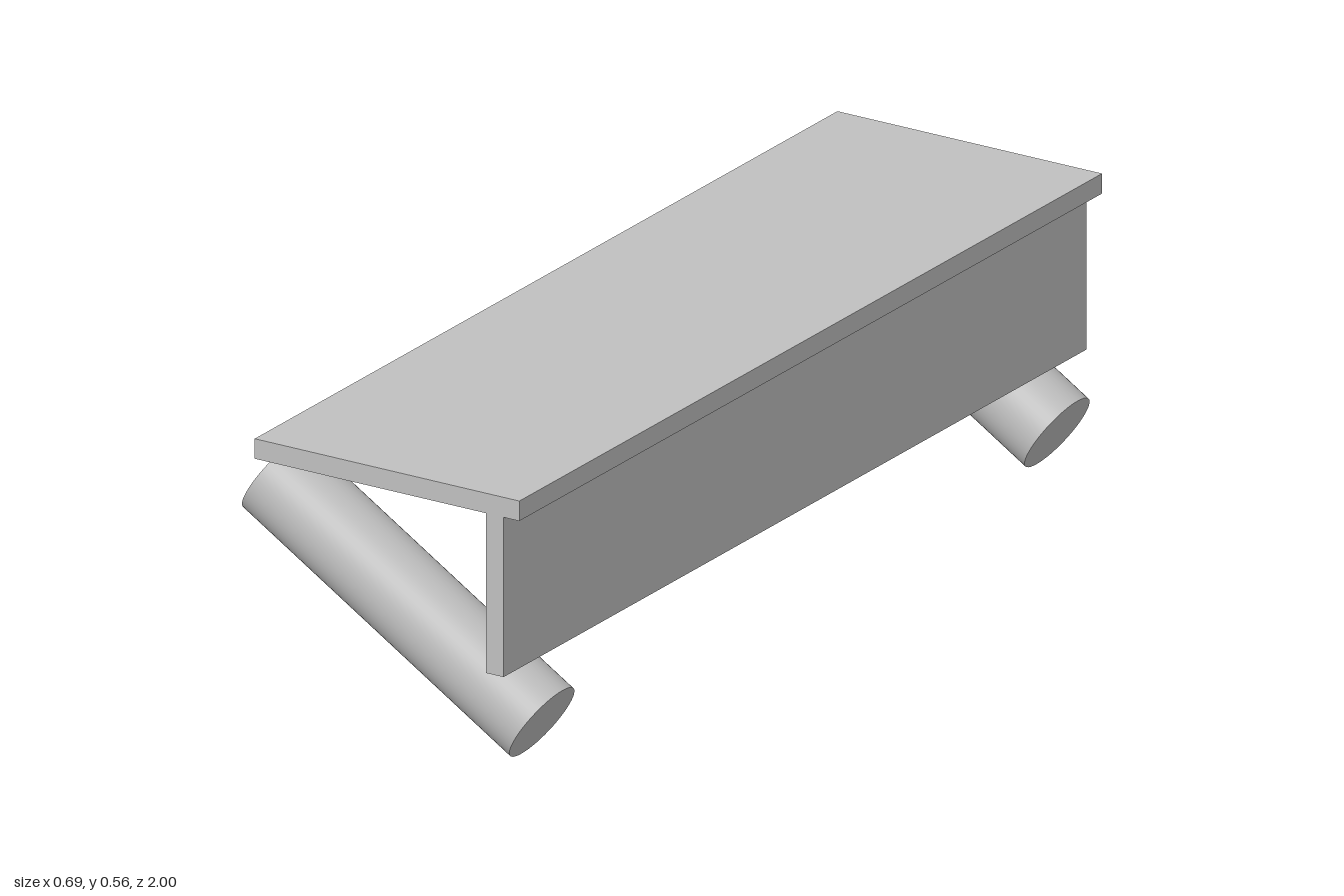
import * as THREE from 'three';

export function createModel() {
  const model = new THREE.Group();
  const grey = new THREE.MeshStandardMaterial({ color: 0xc0c0c0 });
  grey.name = 'grey';

  function add(name, geometry, x, y, z) {
    const mesh = new THREE.Mesh(geometry, grey);
    mesh.name = name;
    mesh.position.set(x, y, z);
    model.add(mesh);
    return mesh;
  }

  // Flat top board and the upright panel below its left edge
  add('topBoard', new THREE.BoxGeometry(0.588, 0.04, 2), 0.028, 0.54, 0);
  add('uprightPanel', new THREE.BoxGeometry(0.039, 0.32, 2), 0.2675, 0.36, 0);

  // Slanted round struts, one near each end
  const high = new THREE.Vector3(-0.297, 0.447, 0);
  const low = new THREE.Vector3(0.297, 0.074, 0);
  const axis = high.clone().sub(low);
  const middle = high.clone().add(low).multiplyScalar(0.5);
  for (const [name, z] of [['frontStrut', 0.884], ['backStrut', -0.884]]) {
    const strut = add(name, new THREE.CylinderGeometry(0.0865, 0.0865, axis.length(), 48), middle.x, middle.y, z);
    strut.quaternion.setFromUnitVectors(new THREE.Vector3(0, 1, 0), axis.clone().normalize());
  }

  return model;
}
